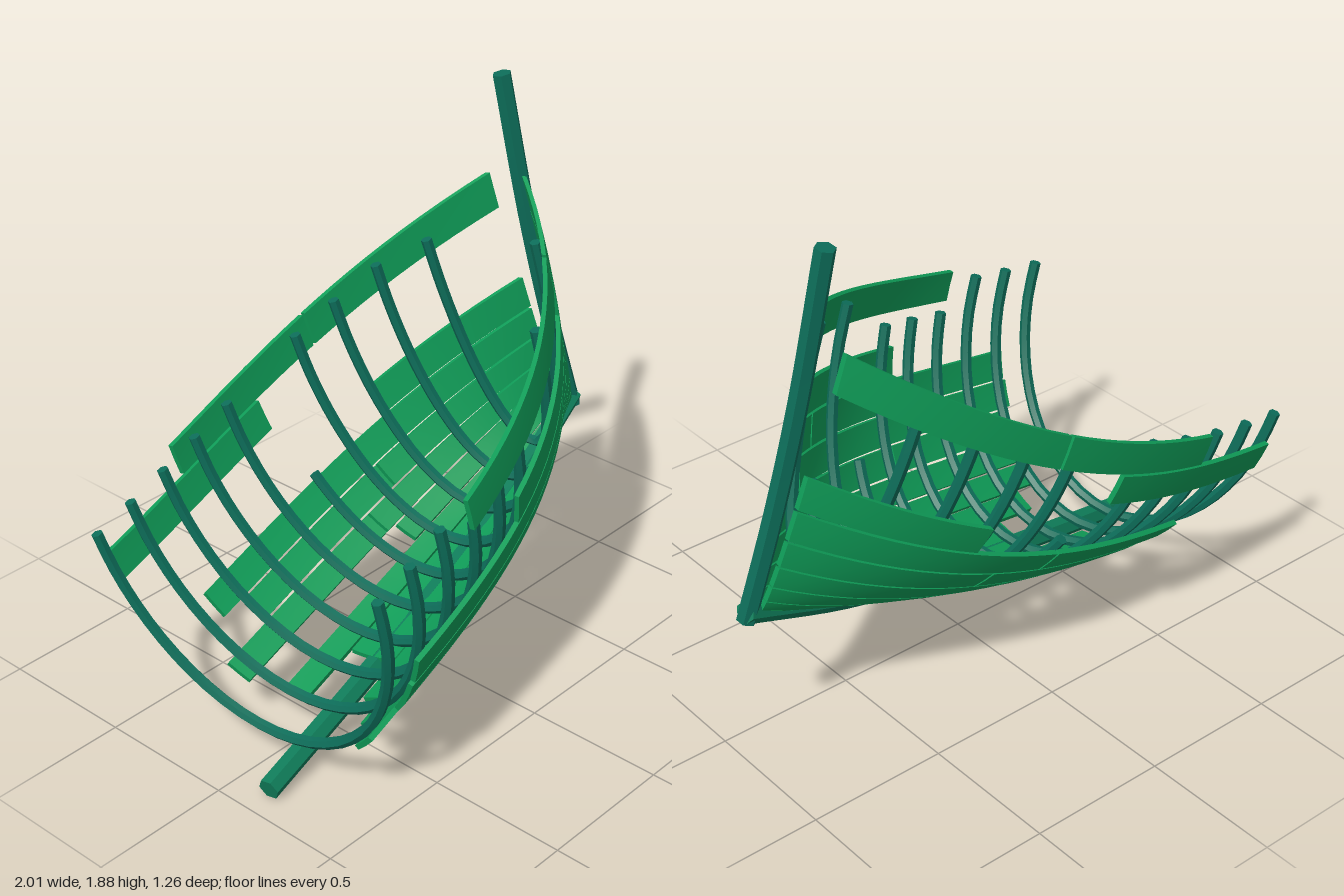
import * as THREE from 'three';
import { toCreasedNormals } from 'three/addons/utils/BufferGeometryUtils.js';

// Hull space: x = along the keel towards the bow, y = up, z = starboard
const STRAKES = 10, BOW = 2.0;
const keelCurve = new THREE.CatmullRomCurve3([
  [0, 0], [0.5, 0.003], [0.95, 0.015], [1.48, 0.058], [2.0, 0.165],
].map(([x, y]) => new THREE.Vector3(x, y, 0)));
const stemCurve = new THREE.CatmullRomCurve3([
  [1.985, 0.13], [1.985, 0.55], [2.005, 0.95], [2.06, 1.47],
].map(([x, y]) => new THREE.Vector3(x, y, 0)));

const bottom = l => 0.04 + 0.14 * Math.pow(Math.max(0, l - 0.4) / 1.6, 2.6);
const sheer = l => 0.82 - 0.063 * l + 0.118 * l * l;
const breadth = l => 0.012 + 0.578 * (1 - Math.pow(Math.min(1, Math.max(0, l - 0.2) / (BOW - 0.2)), 3.2));

// Point on the hull skin: s runs from keel (0) to sheer (1), off pushes outward
function hullPoint(l, s, side, off = 0) {
  const a = s * Math.PI / 2, b = breadth(l), h = sheer(l) - bottom(l);
  const nz = h * Math.sin(a), ny = -b * Math.cos(a), len = Math.hypot(nz, ny);
  return new THREE.Vector3(
    l,
    bottom(l) + h * (1 - Math.cos(a)) + off * ny / len,
    side * Math.max(0, b * Math.sin(a) + off * nz / len));
}

// Plank: a box bent onto the hull skin
function plankGeometry(k, l0, l1, side) {
  const g = new THREE.BoxGeometry(1, 1, 1, Math.max(5, Math.ceil((l1 - l0) * 14)), 2, 1);
  const p = g.attributes.position;
  for (let i = 0; i < p.count; i++) {
    const l = l0 + (l1 - l0) * (0.5 + side * p.getX(i));
    const s = (k + 0.5 + p.getY(i) * 0.92) / STRAKES;
    const v = hullPoint(l, s, side, 0.01 + p.getZ(i) * 0.018);
    p.setXYZ(i, v.x, v.y, v.z);
  }
  g.computeVertexNormals();
  return g;
}

// Timber: a six-sided tube with closed ends
function timberGeometry(curve, segments, radius) {
  const n = 6, g = new THREE.TubeGeometry(curve, segments, radius, n, false);
  const index = Array.from(g.index.array), last = segments * (n + 1);
  for (let j = 1; j < n - 1; j++) {
    index.push(0, j, j + 1, last, last + j + 1, last + j);
  }
  g.setIndex(index);
  return toCreasedNormals(g, 0.7);
}

export function createModel() {
  const group = new THREE.Group();
  group.name = 'shipwreck';
  const hull = new THREE.Group();
  hull.name = 'hull';
  group.add(hull);

  const plankMat = new THREE.MeshStandardMaterial({ color: 0x0f9d58 });
  const timberMat = new THREE.MeshStandardMaterial({ color: 0x0d6e5a });
  const keelMat = new THREE.MeshStandardMaterial({ color: 0x0f7d5a });
  const add = (name, geometry, material) => {
    const m = new THREE.Mesh(geometry, material);
    m.name = name;
    hull.add(m);
  };

  // Backbone
  add('keel', timberGeometry(keelCurve, 20, 0.039), keelMat);
  add('stem', timberGeometry(stemCurve, 16, 0.034), timberMat);

  // Ribs: how far each one still reaches on starboard and port
  const ribReach = [
    [0.98, 0.98], [0.98, 0.98], [0.98, 0.98], [0.88, 0.98], [0.88, 0.98],
    [0.88, 0.62], [0.5, 0.98], [0.98, 0.98], [0.52, 0.98], [0.98, 0.95],
  ];
  ribReach.forEach(([starboard, port], i) => {
    const l = 0.178 + 0.171 * i, pts = [];
    for (let j = -9; j <= 9; j++) {
      const reach = j < 0 ? port : starboard;
      pts.push(hullPoint(l, Math.abs(j) / 9 * reach, j < 0 ? -1 : 1, -0.021));
    }
    add('rib', timberGeometry(new THREE.CatmullRomCurve3(pts), 28, 0.02), timberMat);
  });

  // Planks per strake from the keel up: break points along the hull
  const END = 1.955;
  const starboardPlanks = [
    [[0.62, END]],
    [[0.43, 1.3], [1.31, END]],
    [[0.3, 0.85], [0.86, END]],
    [[0.17, 1.26], [1.27, END]],
    [[0.31, 0.97], [0.98, END]],
    [[0.28, 1.6], [1.61, END]],
    [[0.29, 1.5], [1.51, END]],
    [[0.93, END]],
    [[1.68, END]],
    [[0.636, 1.64], [1.65, 1.945]],
  ];
  const portPlanks = [
    [[0.62, END]],
    [[0.36, 1.2], [1.21, END]],
    [[1.15, END]],
    [[0.31, 1.1], [1.11, END]],
    [[0.55, 1.25], [1.26, END]],
    [[0.43, 1.05], [1.06, END]],
    [[1.4, END]],
    [],
    [[0.2, 1.0]],
    [[0.61, 1.27], [1.28, 1.945]],
  ];
  [[starboardPlanks, 1, 'starboardPlank'], [portPlanks, -1, 'portPlank']].forEach(([rows, side, name]) => {
    rows.forEach((row, k) => row.forEach(([l0, l1]) => add(name, plankGeometry(k, l0, l1, side), plankMat)));
  });

  // Lay the wreck over: bow raised and heeled to port
  const up = new THREE.Vector3(-0.22, 0.967, -0.13).normalize();
  const fore = up.clone().cross(new THREE.Vector3(0.107, 0.148, 0.983)).normalize();
  const star = fore.clone().cross(up);
  hull.quaternion.setFromRotationMatrix(new THREE.Matrix4().makeBasis(fore, up, star));
  hull.position.set(-0.92, 0.04, 0.15);
  return group;
}
